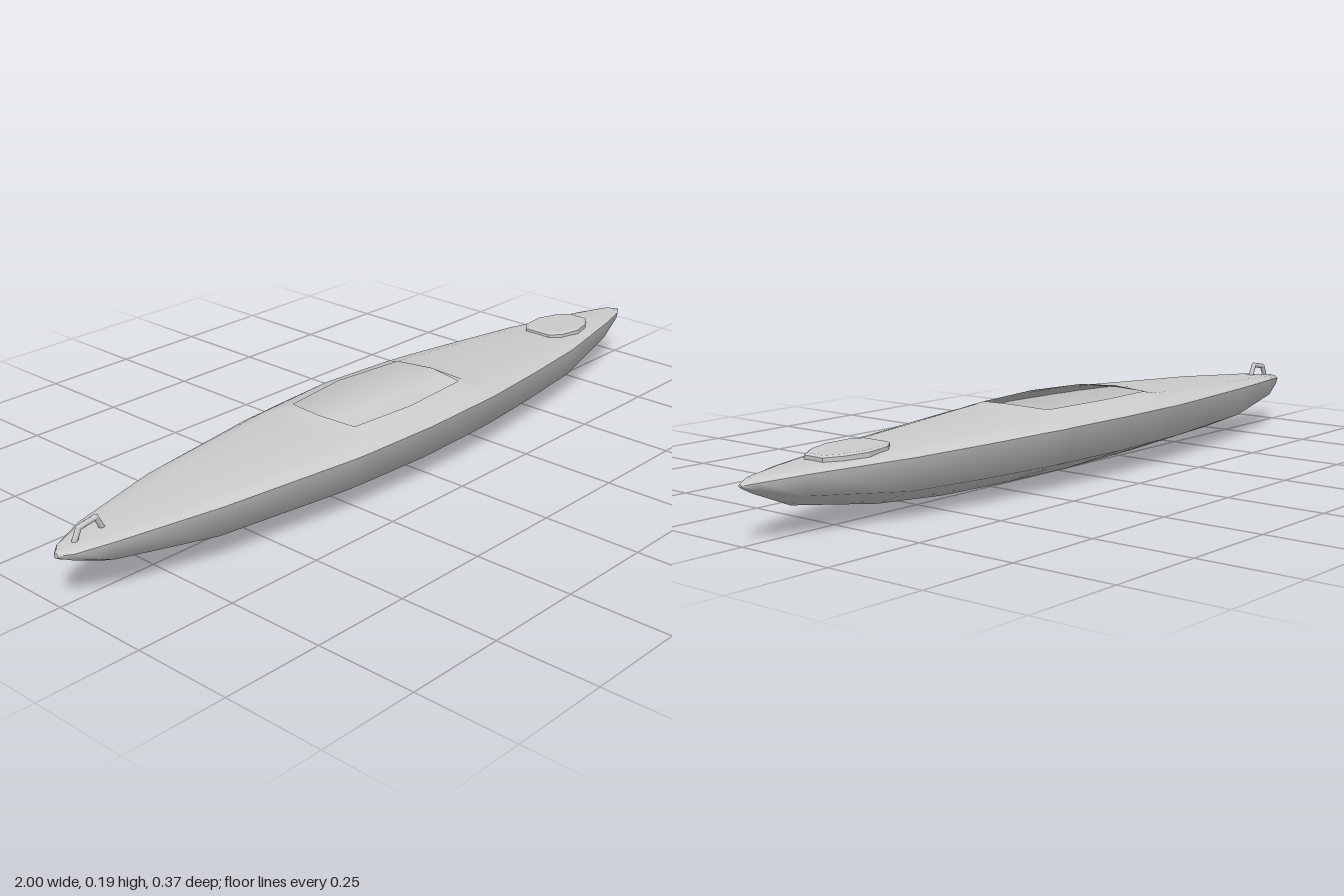
import * as THREE from 'three';

const grey = new THREE.MeshStandardMaterial({ color: 0xcccccc });
const shell = new THREE.MeshStandardMaterial({ color: 0xcccccc, side: THREE.DoubleSide });

// Stations along the boat: x, half-width, keel y, chine y, gunwale y, deck crown y
const STATIONS = [
  [-1.00, 0.006, 0.116, 0.119, 0.124, 0.130],
  [-0.975, 0.03, 0.105, 0.112, 0.128, 0.136],
  [-0.89, 0.065, 0.068, 0.092, 0.137, 0.144],
  [-0.65, 0.124, 0.025, 0.070, 0.146, 0.160],
  [-0.30, 0.174, 0.009, 0.066, 0.151, 0.178],
  [-0.245, 0.178, 0.008, 0.066, 0.151, 0.182],
  [-0.215, 0.180, 0.007, 0.066, 0.152, 0.189],
  [-0.04, 0.187, 0.003, 0.065, 0.153, 0.192],
  [0.16, 0.179, 0.004, 0.065, 0.152, 0.190],
  [0.19, 0.177, 0.004, 0.065, 0.151, 0.182],
  [0.24, 0.173, 0.005, 0.065, 0.151, 0.179],
  [0.42, 0.149, 0.010, 0.065, 0.147, 0.169],
  [0.62, 0.118, 0.026, 0.067, 0.143, 0.159],
  [0.87, 0.056, 0.066, 0.092, 0.138, 0.147],
  [0.97, 0.022, 0.108, 0.116, 0.132, 0.141],
  [1.00, 0.004, 0.124, 0.126, 0.128, 0.131],
];
const AFT = 6, FORE = 8; // stations bounding the cockpit

// Skin a list of equal-length cross-sections, leaving out the quads that skip() names
function loft(rings, skip = () => false) {
  const n = rings[0].length, index = [];
  for (let i = 0; i < rings.length - 1; i++) {
    for (let j = 0; j < n - 1; j++) {
      if (skip(i, j)) continue;
      const a = i * n + j, b = a + n;
      index.push(a, b, a + 1, b, b + 1, a + 1);
    }
  }
  const g = new THREE.BufferGeometry();
  g.setAttribute('position', new THREE.Float32BufferAttribute(rings.flat(2), 3));
  g.setIndex(index);
  g.computeVertexNormals();
  return g;
}

function add(parent, name, geometry, material = grey) {
  const mesh = new THREE.Mesh(geometry, material);
  mesh.name = name;
  parent.add(mesh);
  return mesh;
}

export function createModel() {
  const model = new THREE.Group();
  model.name = 'kayak';

  // Hard-chined hull: gunwale, chine, keel, chine, gunwale
  const hullRings = STATIONS.map(([x, w, keel, chine, gun]) => [
    [x, gun, -w], [x, chine, -w * 0.86], [x, keel, 0], [x, chine, w * 0.86], [x, gun, w],
  ]);
  add(model, 'hull', loft(hullRings), shell);

  // Arched deck, its two middle strips left open for the cockpit
  const deckRings = STATIONS.map(([x, w, , , gun, top], i) => {
    const inner = i === AFT || i === FORE ? 0.1 : w * 0.63;
    const mid = (inner + w) / 2 + w * 0.04;
    const shoulder = gun + (top - gun) * 0.88, side = gun + (top - gun) * 0.5;
    const cx = i === AFT ? -0.23 : i === FORE ? 0.175 : x; // bowed cockpit ends
    return [
      [x, gun, w], [x, side, mid], [x, shoulder, inner], [cx, top, 0],
      [x, shoulder, -inner], [x, side, -mid], [x, gun, -w],
    ];
  });
  const open = (i, j) => i >= AFT && i < FORE && (j === 2 || j === 3);
  add(model, 'deck', loft(deckRings, open), shell);

  // Small bevelled hatch cover on the foredeck
  const half = [[0.09, 0.025], [0.055, 0.048], [0, 0.063], [-0.06, 0.055], [-0.085, 0.035]];
  const outline = [...half, ...half.slice().reverse().map(([x, z]) => [x, -z])];
  const cover = new THREE.ExtrudeGeometry(new THREE.Shape(outline.map(p => new THREE.Vector2(...p))), {
    depth: 0.022, bevelEnabled: true, bevelThickness: 0.004, bevelSize: 0.006, bevelSegments: 1,
  });
  cover.rotateX(-Math.PI / 2);
  const hatch = add(model, 'hatchCover', cover);
  hatch.position.set(0.708, 0.14, 0);
  hatch.rotation.z = -0.035;

  // Carry handle at the other end, made of short round bars
  const handle = new THREE.Group();
  handle.name = 'carryHandle';
  model.add(handle);
  const pts = [[-0.953, 0.132], [-0.938, 0.164], [-0.893, 0.172], [-0.876, 0.138]]
    .map(([x, y]) => new THREE.Vector3(x, y, 0));
  for (let i = 0; i < pts.length - 1; i++) {
    const dir = pts[i + 1].clone().sub(pts[i]);
    const bar = add(handle, 'handleBar', new THREE.CapsuleGeometry(0.0065, dir.length(), 3, 8));
    bar.position.copy(pts[i]).addScaledVector(dir, 0.5);
    bar.quaternion.setFromUnitVectors(new THREE.Vector3(0, 1, 0), dir.normalize());
  }
  return model;
}
